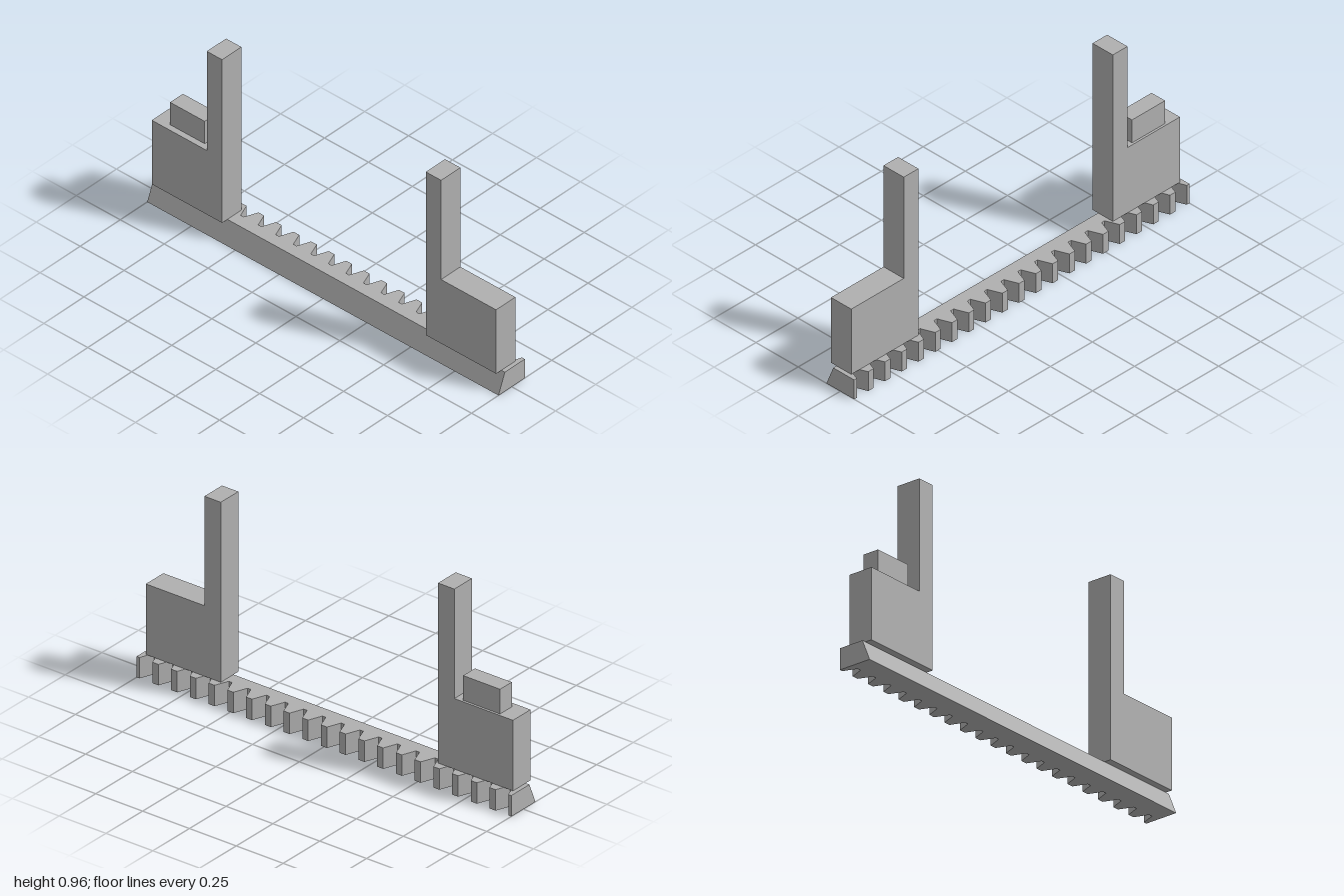
import * as THREE from 'three';

const grey = new THREE.MeshStandardMaterial({ color: 0xb0b0b0 });
grey.name = 'plain grey';

function extrude(points, depth) {
  const shape = new THREE.Shape(points.map(([x, y]) => new THREE.Vector2(x, y)));
  return new THREE.ExtrudeGeometry(shape, { depth, bevelEnabled: false });
}

function addPart(group, name, geometry) {
  const mesh = new THREE.Mesh(geometry, grey);
  mesh.name = name;
  group.add(mesh);
  return mesh;
}

// Toothed rack: plan outline raised to full height, then its front face is sloped back
function rackGeometry() {
  const pitch = 0.1, tip = 0.016, base = 0.041, height = 0.1;
  const zFront = 0.082, zTopFront = 0.042, zRoot = -0.017, zTip = -0.082;
  // Outline is drawn as (x, -z); half teeth close both ends
  const outline = [[-1, -zFront], [1, -zFront], [1, -zTip]];
  for (let i = 10; i >= -10; i--) {
    const c = i * pitch;
    if (i < 10) outline.push([c + base, -zRoot], [c + tip, -zTip]);
    if (i > -10) outline.push([c - tip, -zTip], [c - base, -zRoot]);
    if (i === 10) outline.splice(3, 0);
  }
  outline.push([-1, -zTip]);
  const geometry = extrude(outline, height).rotateX(-Math.PI / 2);
  const p = geometry.attributes.position;
  for (let i = 0; i < p.count; i++) {
    if (p.getY(i) > height / 2 && p.getZ(i) > 0.05) p.setZ(i, zTopFront);
  }
  geometry.computeVertexNormals();
  return geometry;
}

export function createModel() {
  const model = new THREE.Group();
  model.name = 'rackWithJaws';

  addPart(model, 'toothedRack', rackGeometry());

  // L-shaped jaws: low block outside, tall post inside
  const zBack = -0.045, depth = 0.12;
  const rightJaw = [[-0.98, 0.1], [-0.58, 0.1], [-0.58, 0.96], [-0.667, 0.96], [-0.667, 0.437], [-0.98, 0.437]];
  const leftJaw = rightJaw.map(([x, y]) => [-x, y]).reverse();
  addPart(model, 'rightJaw', extrude(rightJaw, depth)).position.z = zBack;
  addPart(model, 'leftJaw', extrude(leftJaw, depth)).position.z = zBack;

  // Small raised button on the right jaw
  addPart(model, 'button', new THREE.BoxGeometry(0.197, 0.118, 0.08)).position.set(-0.804, 0.496, 0.006);

  return model;
}
